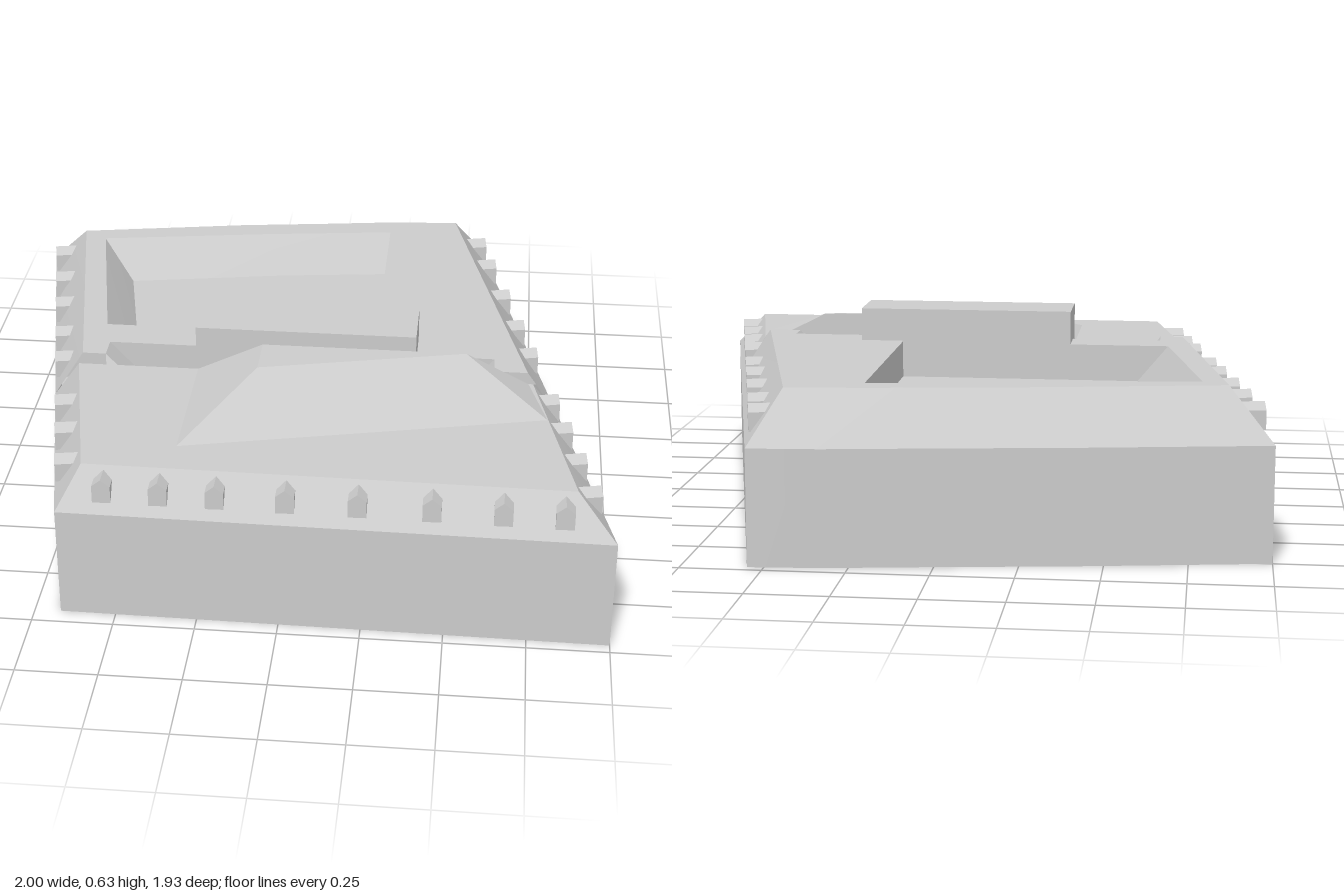
import * as THREE from 'three';
import { toCreasedNormals } from 'three/addons/utils/BufferGeometryUtils.js';

const mat = new THREE.MeshStandardMaterial({ color: 0xcccccc, side: THREE.DoubleSide });

function add(parent, name, geo) {
  const mesh = new THREE.Mesh(geo, mat);
  mesh.name = name;
  parent.add(mesh);
  return mesh;
}

// Geometry from flat convex polygons of [x, y, z] corners
function facets(polys) {
  const pos = [];
  for (const p of polys)
    for (let i = 1; i < p.length - 1; i++) pos.push(...p[0], ...p[i], ...p[i + 1]);
  const g = new THREE.BufferGeometry();
  g.setAttribute('position', new THREE.Float32BufferAttribute(pos, 3));
  g.computeVertexNormals();
  return g;
}

// Wall between two [x, z] outlines at heights y0 and y1, outward when clockwise from above
function band(low, y0, high, y1, closed = true) {
  const polys = [];
  const n = low.length;
  for (let i = 0; i < (closed ? n : n - 1); i++) {
    const j = (i + 1) % n;
    polys.push([
      [low[j][0], y0, low[j][1]], [low[i][0], y0, low[i][1]],
      [high[i][0], y1, high[i][1]], [high[j][0], y1, high[j][1]],
    ]);
  }
  return toCreasedNormals(facets(polys), 0.4);
}

// Level surface facing up, from an [x, z] outline
function level(outline, y, hole) {
  const v = (p) => new THREE.Vector2(p[0], -p[1]);
  const s = new THREE.Shape(outline.map(v));
  if (hole) s.holes.push(new THREE.Path(hole.map(v)));
  return new THREE.ShapeGeometry(s).rotateX(-Math.PI / 2).translate(0, y, 0);
}

export function createModel() {
  const model = new THREE.Group();
  const WALL = 0.36, REAR = 0.52, FRONT = 0.48, FLOOR = 0.4;

  // Outer and inner edges of the sloped rim, rear part then front part
  const rearOut = [[-0.805, 0.25], [-1, -0.75], [-0.4, -0.85], [0, -0.905], [0.33, -0.955], [0.55, -0.97], [0.834, 0.25]];
  const rearIn = [[-0.705, 0.25], [-0.86, -0.645], [-0.3, -0.745], [0, -0.785], [0.22, -0.817], [0.46, -0.835], [0.727, 0.25]];
  const frontOut = [[0.834, 0.25], [1, 0.965], [-0.67, 0.945], [-0.805, 0.25]];
  const frontIn = [[0.745, 0.25], [0.88, 0.872], [-0.6, 0.855], [-0.72, 0.25]];

  // Lower block
  const outline = [...rearOut, ...frontOut.slice(1, 3)];
  add(model, 'outerWall', band(outline, 0, outline, WALL));
  const base = level(outline, 0);
  base.scale(1, -1, 1);
  const ix = base.index.array;
  for (let i = 0; i < ix.length; i += 3) [ix[i], ix[i + 1]] = [ix[i + 1], ix[i]];
  base.computeVertexNormals();
  add(model, 'base', base);
  add(model, 'rearBevel', band(rearOut, WALL, rearIn, REAR, false));
  add(model, 'frontBevel', band(frontOut, WALL, frontIn, FRONT, false));

  // Sunken pit and cross trench
  const pitTop = [[-0.78, -0.59], [-0.66, 0.05], [0.23, 0.05], [0.23, -0.735], [-0.2, -0.68]];
  const pitFloor = [[-0.67, -0.5], [-0.56, 0.05], [0.23, 0.05], [0.23, -0.64], [-0.15, -0.592]];
  const trenchTop = [[0.62, 0.25], [0.62, 0.17], [-0.63, 0.17], [-0.63, 0.25]];
  const trenchFloor = [[0.52, 0.25], [0.52, 0.17], [-0.52, 0.17], [-0.52, 0.25]];
  add(model, 'pitWalls', band(pitFloor, FLOOR, pitTop, REAR));
  add(model, 'pitFloor', level(pitFloor, FLOOR));
  add(model, 'trenchWalls', band(trenchFloor, FLOOR, trenchTop, REAR, false));
  add(model, 'trenchFloor', level(trenchFloor, FLOOR));

  // Decks
  add(model, 'rearDeck', level([...rearIn, ...trenchTop], REAR, pitTop));
  add(model, 'frontDeck', level(frontIn, FRONT));
  const ledge = [[0.231, 0.05], [0.231, -0.735], [0.41, -0.755], [0.59, 0.05]];
  add(model, 'ledge', level(ledge, REAR + 0.002));

  // Small steps between decks, and the trench's front wall
  add(model, 'deckSteps', facets([
    [[-0.73, FRONT, 0.25], [-0.63, FRONT, 0.25], [-0.63, REAR, 0.25], [-0.705, REAR, 0.25]],
    [[0.62, FRONT, 0.25], [0.755, FRONT, 0.25], [0.727, REAR, 0.25], [0.62, REAR, 0.25]],
    [[0.62, FLOOR, 0.25], [-0.63, FLOOR, 0.25], [-0.63, FRONT, 0.25], [0.62, FRONT, 0.25]],
  ]));

  // Faceted mound on the front deck
  const a = [-0.33, FRONT, 0.25], b = [-0.33, FRONT, 0.73], c = [0.79, FRONT, 0.47], d = [0.73, FRONT, 0.25];
  const p = [-0.12, 0.58, 0.25], q = [-0.12, 0.58, 0.4], r = [0.53, 0.58, 0.25];
  add(model, 'mound', facets([[a, b, q, p], [b, c, r, q], [c, d, r], [p, q, r], [d, a, p, r]]));

  // Raised cross bar
  add(model, 'crossBar', new THREE.BoxGeometry(0.705, 0.23, 0.2).translate(0.0175, 0.515, 0.15));

  // Pointed studs along the rim
  const s = new THREE.Shape([[-0.028, 0.385], [0.028, 0.385], [0.028, 0.445], [0, 0.468], [-0.028, 0.445]]
    .map((v) => new THREE.Vector2(...v)));
  const studGeo = new THREE.ExtrudeGeometry(s, { depth: 0.085, bevelEnabled: false }).translate(0, 0, -0.05);
  const studs = new THREE.Group();
  studs.name = 'studs';
  model.add(studs);
  const stud = (x, z, turn) => {
    const m = add(studs, 'stud', studGeo);
    m.position.set(x, 0, z);
    m.rotation.y = turn;
  };
  for (const x of [-0.53, -0.36, -0.19, 0.02, 0.235, 0.455, 0.665, 0.845])
    stud(x, 0.896 + 0.012 * x, 0);
  for (const z of [-0.82, -0.65, -0.42, -0.2, -0.01, 0.29, 0.46, 0.64, 0.82])
    stud(0.725 + 0.231 * z, z, Math.PI / 2 + 0.23);
  for (const z of [-0.62, -0.42, -0.23, -0.02, 0.15, 0.43, 0.6, 0.78])
    stud(-0.813 + 0.194 * z, z, -Math.PI / 2 + 0.19);

  return model;
}
